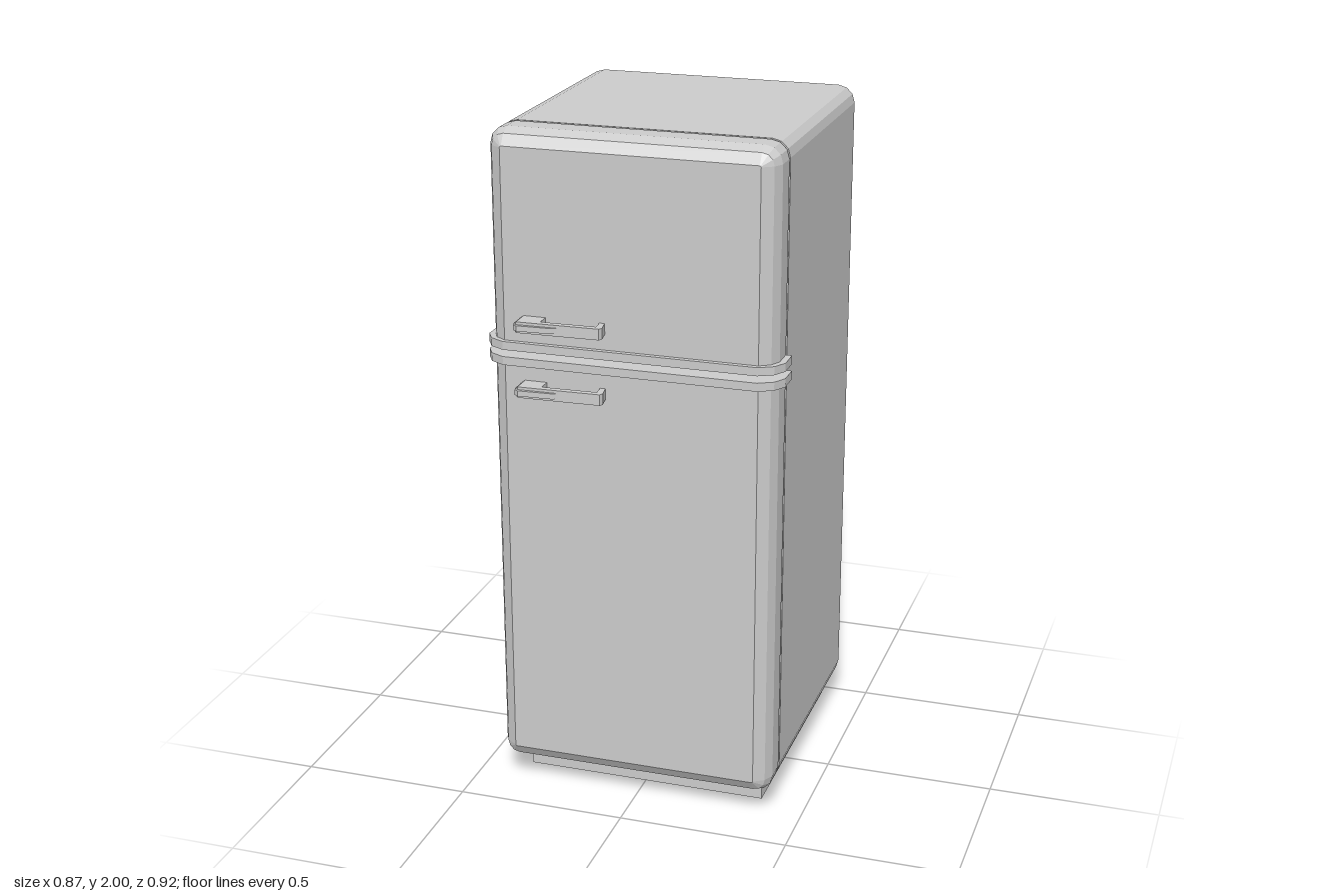
import * as THREE from 'three';

const HALF = 0.415, RADIUS = 0.05, BACK = -0.46, FRONT = 0.265;
const TOP = 2, BOTTOM = 0.075;
const material = new THREE.MeshStandardMaterial({ color: 0xcccccc, flatShading: true });

function part(name, geometry) {
  const mesh = new THREE.Mesh(geometry, material);
  mesh.name = name;
  return mesh;
}

// Points of a quarter arc, in degrees from a to a + 90
function arc(cx, cy, r, a, steps = 3) {
  return Array.from({ length: steps + 1 }, (_, i) => {
    const t = THREE.MathUtils.degToRad(a + (90 * i) / steps);
    return new THREE.Vector2(cx + r * Math.cos(t), cy + r * Math.sin(t));
  });
}

// Extrude a plan drawn in (x, z) between two heights
function plate(points, y0, y1) {
  const shape = new THREE.Shape(points.map(([x, z]) => new THREE.Vector2(x, z)));
  const g = new THREE.ExtrudeGeometry(shape, { depth: y1 - y0, bevelEnabled: false });
  return g.rotateX(Math.PI / 2).translate(0, y1, 0);
}

// Door outline: square at the split (y = 0), rounded at the far end
function doorOutline(height, inset) {
  const cx = HALF - RADIUS, cy = height - RADIUS, r = RADIUS - inset;
  return [
    new THREE.Vector2(-HALF + inset, 0), new THREE.Vector2(HALF - inset, 0),
    ...arc(cx, cy, r, 0), ...arc(-cx, cy, r, 90),
  ];
}

// Join door outlines through layers of [z, inset], closing both ends
function doorSolid(height, layers) {
  const pos = [], index = [];
  const n = doorOutline(height, 0).length;
  for (const [z, inset] of layers)
    for (const p of doorOutline(height, inset)) pos.push(p.x, p.y, z);
  for (let k = 0; k < layers.length - 1; k++)
    for (let i = 0; i < n; i++) {
      const a = k * n + i, b = k * n + ((i + 1) % n);
      index.push(a, b, b + n, a, b + n, a + n);
    }
  const last = (layers.length - 1) * n;
  for (let i = 1; i < n - 1; i++) {
    index.push(0, i + 1, i);
    index.push(last, last + i, last + i + 1);
  }
  const g = new THREE.BufferGeometry();
  g.setAttribute('position', new THREE.Float32BufferAttribute(pos, 3));
  g.setIndex(index);
  const flat = g.toNonIndexed();
  flat.computeVertexNormals();
  return flat;
}

function createDoor(name, splitY, height, upper) {
  const door = new THREE.Group();
  door.name = name;
  door.add(part('doorPanel', doorSolid(height, [[0.276, 0], [0.34, 0], [0.37, 0.015], [0.39, 0.046]])));
  door.add(part('doorGasket', doorSolid(height, [[FRONT - 0.002, 0.025], [0.278, 0.025]])));
  // Trim band wrapping the door at the split
  const side = [[0.433, 0.276], [0.433, 0.345], [0.412, 0.382], [0.37, 0.405]];
  const plan = [...side, ...side.map(([x, z]) => [-x, z]).reverse()];
  door.add(part('trimBand', plate(plan, -0.0005, 0.024)));
  door.position.y = splitY;
  if (!upper) door.rotation.z = Math.PI;
  return door;
}

function createHandle(name, y) {
  const handle = new THREE.Group();
  handle.name = name;
  // Grip with a solid mount at one end and a thin leg at the other
  const grip = plate([
    [-0.32, 0.385], [-0.32, 0.442], [-0.31, 0.45], [-0.19, 0.447], [-0.07, 0.443],
    [-0.064, 0.432], [-0.072, 0.385], [-0.087, 0.385], [-0.084, 0.425],
    [-0.245, 0.43], [-0.245, 0.385], [-0.31, 0.385],
  ], -0.016, 0.016);
  // Taper the mounting end
  const p = grip.attributes.position;
  for (let i = 0; i < p.count; i++) if (p.getX(i) < -0.315) p.setY(i, p.getY(i) * 0.55);
  grip.computeVertexNormals();
  handle.add(part('handleGrip', grip));
  // Raised thumb ridge
  handle.add(part('handleRidge', plate([
    [-0.318, 0.44], [-0.318, 0.452], [-0.306, 0.46], [-0.205, 0.455], [-0.19, 0.446], [-0.2, 0.44],
  ], -0.008, 0.008)));
  handle.position.y = y;
  return handle;
}

export function createModel() {
  const fridge = new THREE.Group();
  fridge.name = 'refrigerator';

  // Cabinet with four rounded long edges
  const cx = HALF - RADIUS, top = TOP - RADIUS, low = BOTTOM + RADIUS;
  const outline = new THREE.Shape([
    ...arc(cx, top, RADIUS, 0), ...arc(-cx, top, RADIUS, 90),
    ...arc(-cx, low, RADIUS, 180), ...arc(cx, low, RADIUS, 270),
  ]);
  const cabinet = new THREE.ExtrudeGeometry(outline, { depth: FRONT - BACK, bevelEnabled: false });
  fridge.add(part('cabinet', cabinet.translate(0, 0, BACK)));

  // Plinth
  const plinth = new THREE.BoxGeometry(0.726, 0.08, FRONT - BACK);
  fridge.add(part('plinth', plinth.translate(0, 0.04, (FRONT + BACK) / 2)));

  // Doors and handles
  fridge.add(createDoor('freezerDoor', 1.377, TOP - 1.377, true));
  fridge.add(createDoor('mainDoor', 1.356, 1.356 - BOTTOM, false));
  fridge.add(createHandle('freezerHandle', 1.462));
  fridge.add(createHandle('mainHandle', 1.272));
  return fridge;
}
